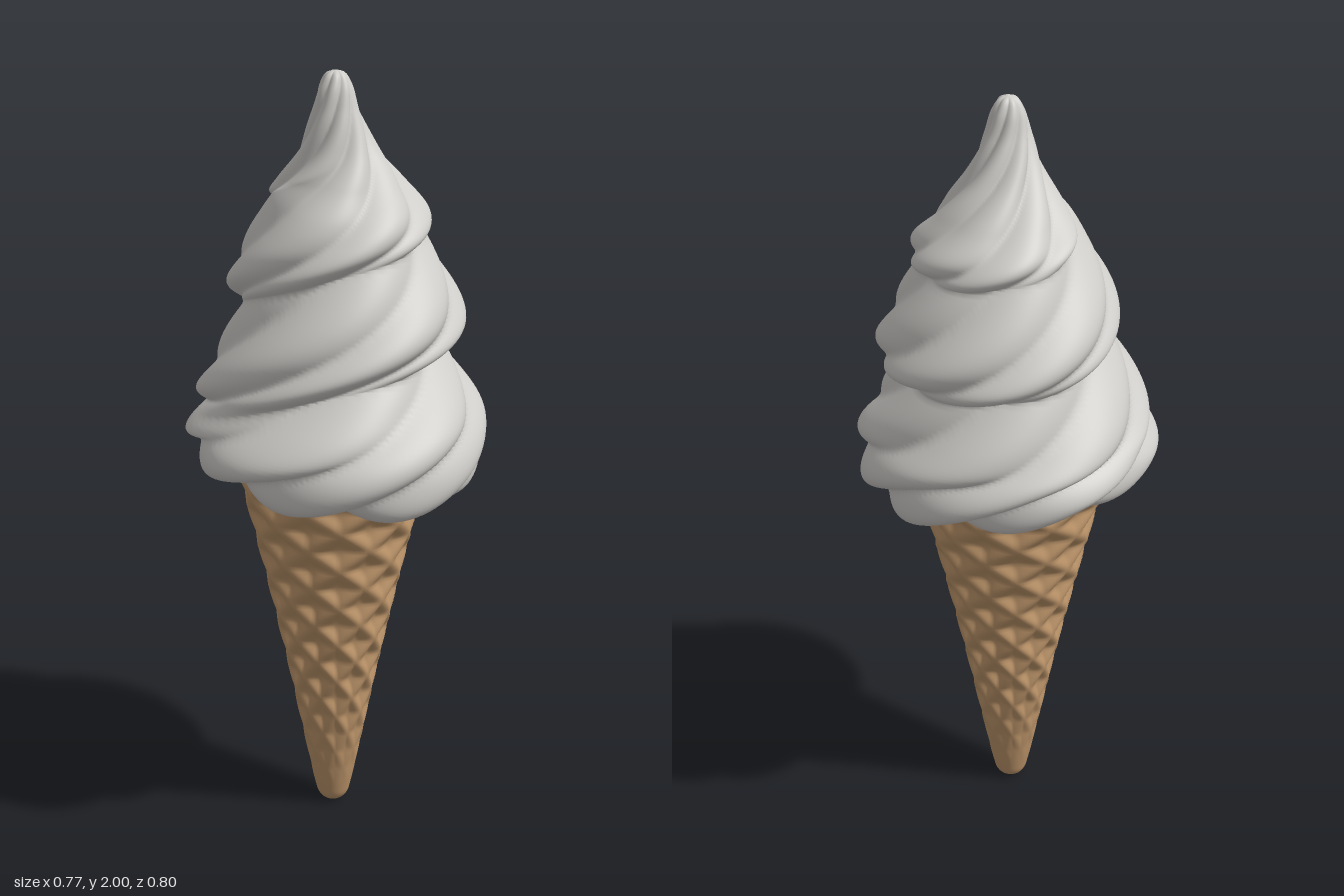
import * as THREE from 'three';

const TAU = Math.PI * 2;
const smooth = THREE.MathUtils.smoothstep;

// Smooth curve through [radius, height] pairs, sampled evenly
function profile(points, rows) {
  const curve = new THREE.CatmullRomCurve3(points.map(([r, y]) => new THREE.Vector3(r, y, 0)), false, 'centripetal');
  return curve.getSpacedPoints(rows);
}

// Closed rings from a profile; rule(r, y, angle) returns the sculpted [r, y].
// The angle runs anticlockwise seen from above, starting at +x;
// axis(y) gives the [x, z] centre of each ring.
function sculptedLathe(rows, segments, rule, axis) {
  const positions = [];
  const index = [];
  rows.forEach((p, i) => {
    const [cx, cz] = axis(p.y);
    for (let j = 0; j < segments; j++) {
      const a = (j / segments) * TAU;
      const [r, y] = rule(Math.max(p.x, 0), p.y, a);
      positions.push(cx + r * Math.cos(a), y, cz - r * Math.sin(a));
      if (i === rows.length - 1) continue;
      const k = (j + 1) % segments;
      const low = i * segments;
      const high = low + segments;
      index.push(low + j, low + k, high + j, low + k, high + k, high + j);
    }
  });
  const geometry = new THREE.BufferGeometry();
  geometry.setAttribute('position', new THREE.Float32BufferAttribute(positions, 3));
  geometry.setIndex(index);
  geometry.computeVertexNormals();
  return geometry;
}

// Tapered cone with two crossing families of raised waffle ribs
function waffleCone() {
  const rows = profile([
    [0, 0], [0.022, 0.003], [0.038, 0.018], [0.048, 0.05], [0.077, 0.2],
    [0.112, 0.4], [0.154, 0.6], [0.2, 0.8], [0.241, 0.97], [0.258, 1.05],
  ], 130);
  const rib = (t) => Math.pow(Math.abs(Math.cos(Math.PI * t)), 2.5);
  return sculptedLathe(rows, 128, (r, y, a) => {
    const around = (a / TAU) * 8;
    const up = y / 0.115;
    const height = Math.max(rib(around + up), rib(around - up));
    const depth = 0.02 * smooth(y, 0.03, 0.5);
    return [r + depth * (height - 0.55), y];
  }, () => [0, 0]);
}

// Soft swirl: one broad rising coil crossed by steeper scalloped ridges
function creamSwirl() {
  const rows = profile([
    [0.2, 1.03], [0.25, 0.99], [0.3, 0.965], [0.36, 0.985], [0.402, 1.06], [0.397, 1.14],
    [0.358, 1.26], [0.33, 1.39], [0.292, 1.52], [0.258, 1.61], [0.228, 1.665], [0.168, 1.725],
    [0.107, 1.8], [0.062, 1.9], [0.042, 1.965], [0.024, 1.993], [0, 2],
  ], 170);
  return sculptedLathe(rows, 168, (r, y, a) => {
    // Coil crests climb one pitch per turn, mostly at the front right
    const turn = a + Math.PI / 2;
    const climb = turn / TAU + 0.09 * (Math.cos(turn) - 1) + 0.1 * Math.sin(turn);
    const crest = Math.abs(Math.cos(Math.PI * ((y - 1.05) / 0.28 - climb)));
    const coil = smooth(y, 1.04, 1.2) * (1 - smooth(y, 1.62, 1.8));
    // Seven nozzle ridges twist up to the tip
    const ridge = Math.abs(Math.cos(Math.PI * 7 * (a / TAU - y / 0.95)));
    const ridgeDepth = 0.09 + 0.12 * smooth(y, 1.6, 1.85);
    const radius = r * (1 - 0.22 * coil * (1 - crest)) * (1 - ridgeDepth * (1 - ridge))
      * (1 - 0.035 * Math.cos(a) ** 2);
    // Crests sag over the valleys, and the lower rim droops unevenly
    const sag = 0.05 * coil * (0.6 - crest);
    const rim = (1 - smooth(y, 0.98, 1.2)) * smooth(r, 0.2, 0.3);
    const droop = rim * (0.025 - 0.035 * ridge - 0.038 * Math.cos(a) + 0.01 * Math.sin(a));
    return [radius, y + sag + droop];
  }, (y) => {
    // The upper coils lean back, and the tip returns to the middle
    const lean = smooth(y, 1.1, 1.4) * (1 - smooth(y, 1.65, 1.95));
    return [0.008 + 0.004 * lean, -0.035 * lean];
  });
}

export function createModel() {
  const waffle = new THREE.MeshStandardMaterial({ color: 0xbd956a });
  waffle.name = 'waffle';
  const cream = new THREE.MeshStandardMaterial({ color: 0xcfcdc9 });
  cream.name = 'cream';

  const model = new THREE.Group();
  model.name = 'iceCream';
  const parts = [
    ['waffleCone', waffleCone(), waffle],
    ['creamSwirl', creamSwirl(), cream],
  ];
  for (const [name, geometry, material] of parts) {
    const mesh = new THREE.Mesh(geometry, material);
    mesh.name = name;
    model.add(mesh);
  }
  return model;
}
